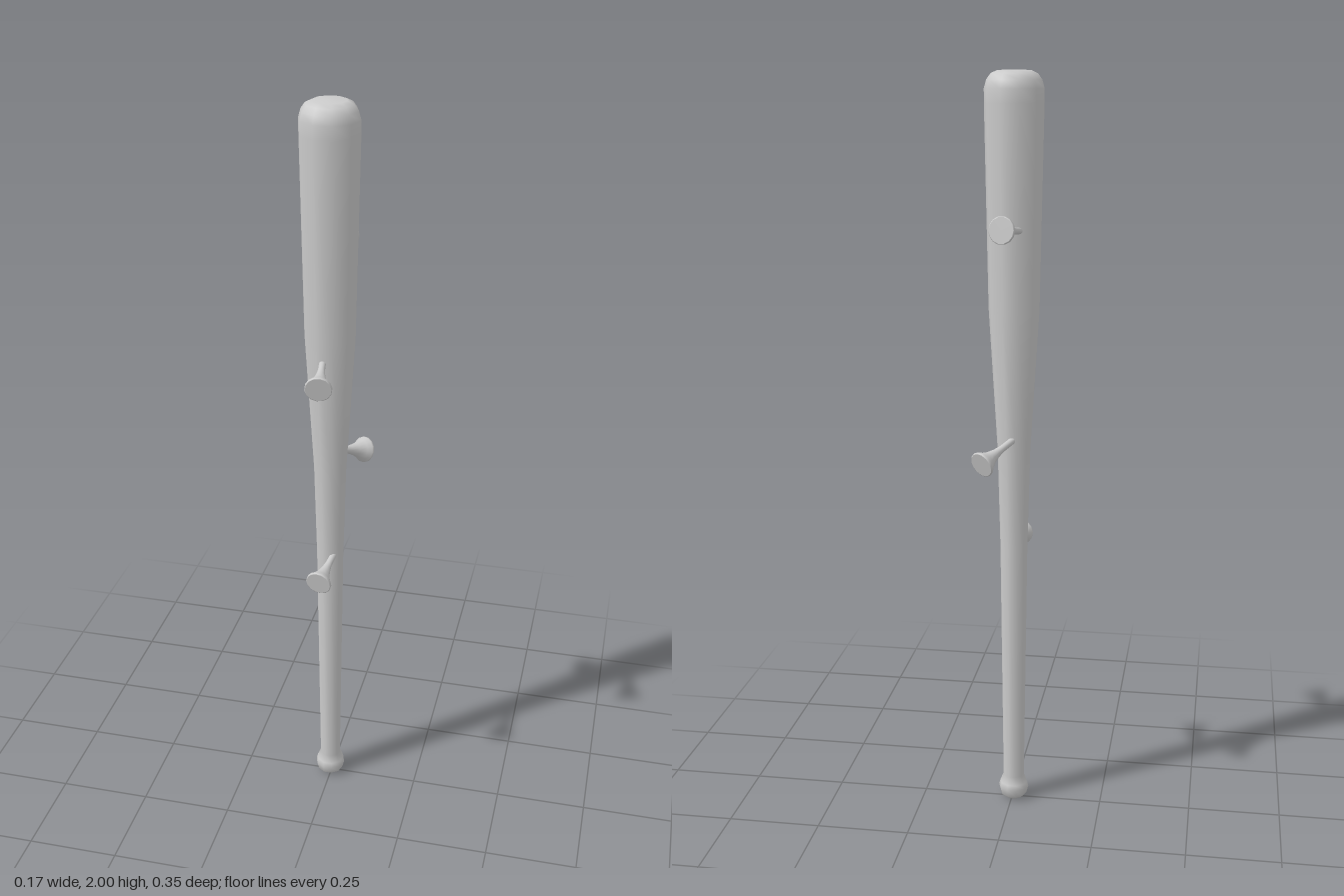
import * as THREE from 'three';

const material = new THREE.MeshStandardMaterial({ color: 0xcccccc });

// Surface of revolution from [radius, height] pairs, listed bottom to top
function turned(name, profile, sides) {
  const points = profile.map(([r, y]) => new THREE.Vector2(r, y));
  const mesh = new THREE.Mesh(new THREE.LatheGeometry(points, sides), material);
  mesh.name = name;
  return mesh;
}

export function createModel() {
  const model = new THREE.Group();
  model.name = 'spikedBat';

  // Ten-sided bat: knob, slim handle, widening barrel, rounded tip
  const bat = turned('bat', [
    [0, 0], [0.024, 0.002], [0.036, 0.012], [0.042, 0.035], [0.038, 0.048],
    [0.029, 0.07], [0.037, 0.75], [0.044, 1.02], [0.067, 1.4],
    [0.077, 1.92], [0.077, 1.955], [0.071, 1.976], [0.06, 1.991], [0.043, 1.999], [0, 2],
  ], 10);
  bat.rotation.y = Math.PI / 2;
  bat.position.x = -0.004;
  model.add(bat);

  // Nails: a point inside the wood and the centre of the flared head
  const nails = [
    [[-0.03, 1.606, -0.045], [0.003, 1.62, -0.168]],
    [[-0.012, 1.352, 0.04], [0.007, 1.328, 0.17]],
    [[-0.012, 1.06, -0.03], [0.06, 1.014, -0.142]],
    [[0.012, 0.768, 0.02], [-0.003, 0.744, 0.141]],
  ];
  const up = new THREE.Vector3(0, 1, 0);
  nails.forEach(([from, to], i) => {
    const start = new THREE.Vector3(...from);
    const axis = new THREE.Vector3(...to).sub(start);
    const h = axis.length();
    const nail = turned('nail' + (i + 1), [
      [0, 0], [0.009, 0], [0.009, h - 0.085], [0.012, h - 0.062], [0.018, h - 0.038],
      [0.027, h - 0.018], [0.035, h - 0.007], [0.035, h - 0.001],
      [0.033, h], [0.033, h], [0, h],
    ], 14);
    nail.position.copy(start);
    nail.quaternion.setFromUnitVectors(up, axis.normalize());
    model.add(nail);
  });

  return model;
}
